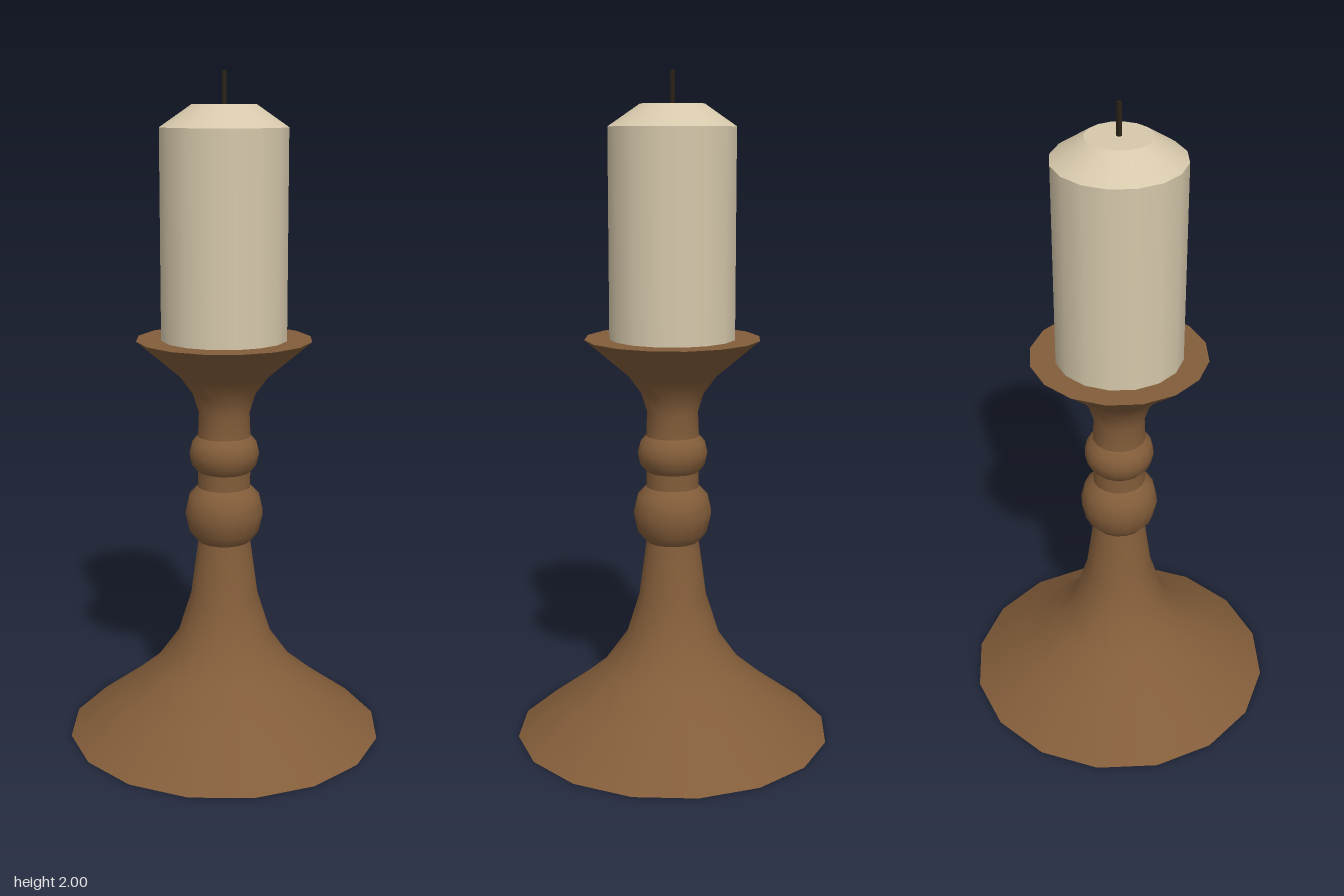
import * as THREE from 'three';

const SIDES = 16;

export function createModel() {
  const wood = new THREE.MeshStandardMaterial({ color: 0x835d3a });
  wood.name = 'brown wood';
  const wax = new THREE.MeshStandardMaterial({ color: 0xd6c8ab });
  wax.name = 'cream wax';
  const char = new THREE.MeshStandardMaterial({ color: 0x2a2318 });
  char.name = 'charred wick';

  const group = new THREE.Group();
  group.name = 'candlestick';

  // Each turned section is smooth inside and creased where it meets the next
  const turn = (name, material, profile) => {
    const points = profile.map(([r, y]) => new THREE.Vector2(r, y));
    const mesh = new THREE.Mesh(new THREE.LatheGeometry(points, SIDES), material);
    mesh.name = name;
    group.add(mesh);
  };

  // Holder, from the foot up
  turn('footUnderside', wood, [[0, 0], [0.48, 0]]);
  turn('flaredFoot', wood, [
    [0.48, 0], [0.325, 0.116], [0.213, 0.21], [0.144, 0.307], [0.104, 0.434], [0.08, 0.61],
  ]);
  turn('lowerBead', wood, [
    [0.08, 0.61], [0.106, 0.642], [0.119, 0.7], [0.107, 0.752], [0.08, 0.78],
  ]);
  turn('neckRing', wood, [[0.08, 0.78], [0.08, 0.828]]);
  turn('upperBead', wood, [
    [0.08, 0.828], [0.098, 0.85], [0.106, 0.884], [0.098, 0.916], [0.08, 0.937],
  ]);
  turn('stemAndCup', wood, [
    [0.08, 0.937], [0.077, 1.01], [0.094, 1.066], [0.131, 1.118], [0.262, 1.23],
  ]);
  turn('cupTop', wood, [[0.262, 1.23], [0, 1.23]]);

  // Candle
  turn('candleBody', wax, [[0.188, 1.23], [0.188, 1.842]]);
  turn('candleShoulder', wax, [[0.188, 1.842], [0.094, 1.906]]);
  turn('candleTop', wax, [[0.094, 1.906], [0, 1.906]]);

  // Wick
  const wick = new THREE.Mesh(new THREE.BoxGeometry(0.011, 0.1, 0.011), char);
  wick.name = 'wick';
  wick.position.y = 1.95;
  group.add(wick);

  return group;
}
